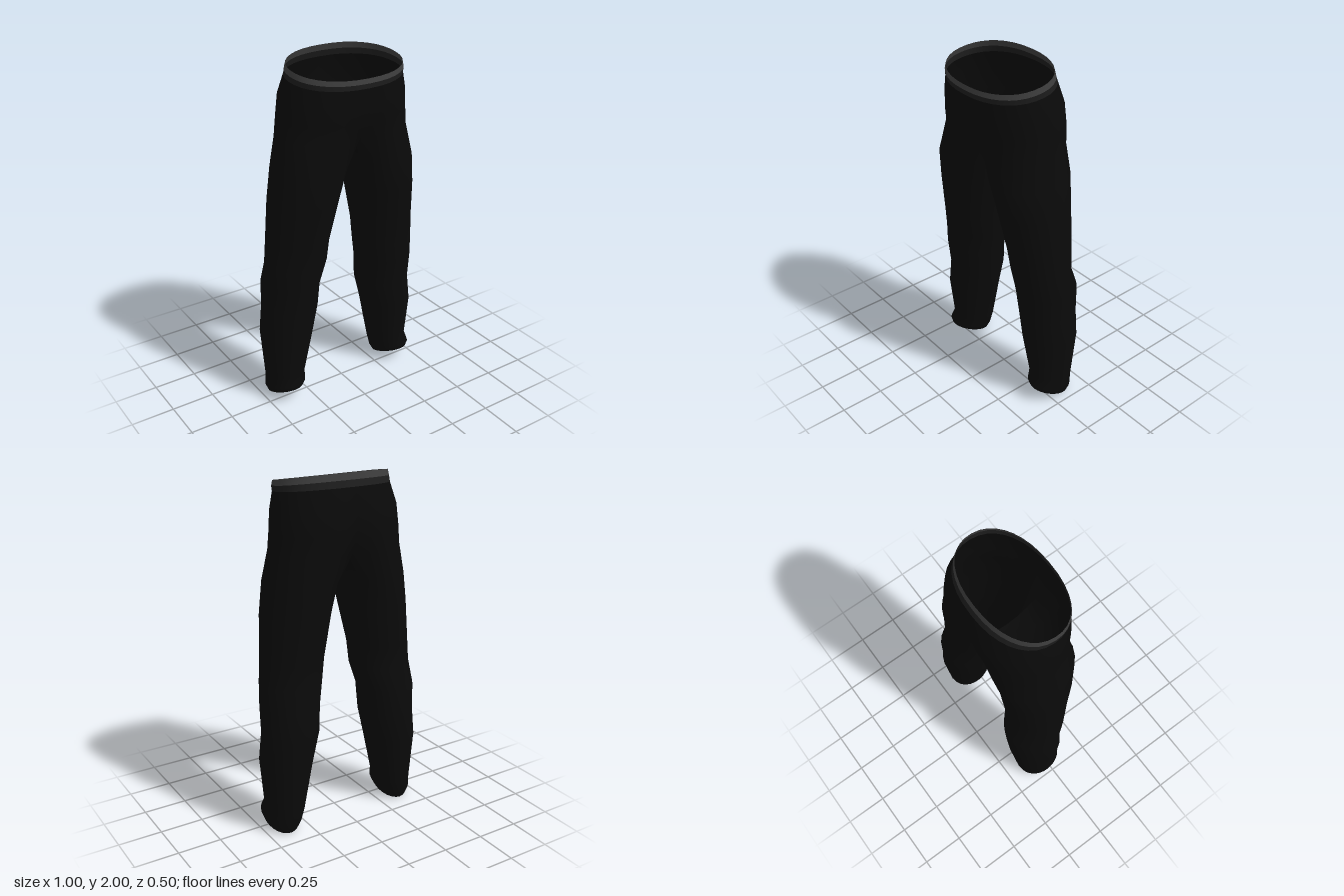
import * as THREE from 'three';
import { mergeVertices } from 'three/addons/utils/BufferGeometryUtils.js';

const N = 24;                       // points around a leg
const SEAM = 3;                     // points each side of the inseam
const A = Math.PI * (1 - 2 * SEAM / N); // angle where the outer cloth meets the centre seam

// Leg sections: front y, back y, inner x, outer x, front z, back z
const LEG = [
  [0.09, 0.00, 0.285, 0.475, 0.09, -0.148],
  [0.12, 0.04, 0.265, 0.49, 0.10, -0.165],
  [0.17, 0.12, 0.255, 0.477, 0.077, -0.18],
  [0.42, 0.42, 0.20, 0.498, 0.11, -0.212],
  [0.58, 0.58, 0.16, 0.482, 0.11, -0.215],
  [0.74, 0.74, 0.153, 0.48, 0.133, -0.22],
  [0.87, 0.87, 0.115, 0.472, 0.143, -0.178],
  [1.00, 1.00, 0.105, 0.458, 0.162, -0.19],
  [1.24, 1.24, 0.055, 0.442, 0.20, -0.20],
  [1.42, 1.42, 0.018, 0.412, 0.232, -0.222],
];
// Hip sections: front y, back y, side x, front z, back z, front cleft, back cleft
const HIPS = [
  [1.60, 1.58, 0.382, 0.236, -0.245, 0.22, 0.25],
  [1.69, 1.69, 0.367, 0.254, -0.258, 0.06, 0.12],
  [1.79, 1.81, 0.357, 0.256, -0.245, 0.02, 0.06],
  [1.87, 1.93, 0.33, 0.255, -0.205, 0, 0],
];
const BAND = [
  HIPS[3],
  [1.895, 1.965, 0.331, 0.256, -0.192, 0, 0],
  [1.92, 2.00, 0.325, 0.25, -0.182, 0, 0],
];

const angle = (i) => -Math.PI + 2 * Math.PI * i / N;
const lerp = THREE.MathUtils.lerp;

function legPoint([yf, yb, xi, xo, zf, zb], a) {
  const s = Math.sin(a);
  return [
    (xi + xo) / 2 + (xo - xi) / 2 * Math.cos(a),
    lerp(yb, yf, (s + 1) / 2),
    (zf + zb) / 2 + (zf - zb) / 2 * s,
  ];
}

// Half oval from the back seam round the side to the front seam
function hipPoint([yf, yb, xo, zf, zb, cf, cb], a) {
  const phi = a / A * Math.PI / 2, s = Math.sin(phi);
  const x = xo * Math.pow(Math.max(0, Math.cos(phi)), 0.88);
  const cleft = 1 - (s > 0 ? cf : cb) * Math.exp(-((x / 0.08) ** 2));
  const zs = Math.sign(s) * Math.pow(Math.abs(s), 0.92);
  return [
    x < 1e-4 ? 0 : x,
    lerp(yb, yf, (s + 1) / 2),
    ((zf + zb) / 2 + (zf - zb) / 2 * zs) * cleft,
  ];
}

// Top of the leg: outer part follows the hips, inner part hangs along the crotch seam
function crotchPoint(a) {
  if (Math.abs(a) <= A + 1e-6) return hipPoint(HIPS[0], a);
  const u = (Math.PI - Math.abs(a)) / (Math.PI - A);
  const [, y, z] = hipPoint(HIPS[0], Math.sign(a) * A);
  return [0, lerp(1.52, y, u * u), z * u];
}

// Skins stacked rows of points and mirrors them across x = 0
function skin(rowSets) {
  const pos = [];
  const tri = (a, b, c) => {
    pos.push(...a, ...b, ...c);
    for (const p of [a, c, b]) pos.push(-p[0], p[1], p[2]);
  };
  for (const rows of rowSets)
    for (let r = 0; r < rows.length - 1; r++)
      for (let i = 0; i < rows[r].length - 1; i++) {
        const [p, q] = [rows[r][i], rows[r][i + 1]];
        const [s, t] = [rows[r + 1][i], rows[r + 1][i + 1]];
        tri(p, s, q);
        tri(q, s, t);
      }
  const geo = new THREE.BufferGeometry();
  geo.setAttribute('position', new THREE.Float32BufferAttribute(pos, 3));
  const merged = mergeVertices(geo, 1e-4);
  merged.computeVertexNormals();
  return merged;
}

export function createModel() {
  const group = new THREE.Group();
  const full = Array.from({ length: N + 1 }, (_, i) => angle(i));
  const outer = full.slice(SEAM, N + 1 - SEAM);
  const hipRows = (sections) => sections.map((k) => outer.map((a) => hipPoint(k, a)));

  const add = (name, geometry, color) => {
    const material = new THREE.MeshStandardMaterial({ color, side: THREE.DoubleSide });
    const mesh = new THREE.Mesh(geometry, material);
    mesh.name = name;
    group.add(mesh);
  };

  // Legs and hips share one smooth cloth, open at the hems
  const legRows = LEG.map((k) => full.map((a) => legPoint(k, a)));
  legRows.push(full.map(crotchPoint));
  add('trouserCloth', skin([legRows, hipRows(HIPS)]), 0x0a0a0a);

  // Waistband, lighter toward the rim
  const band = hipRows(BAND);
  add('waistbandLower', skin([band.slice(0, 2)]), 0x1c1c1c);
  add('waistbandRim', skin([band.slice(1)]), 0x3c3c3c);

  group.name = 'trousers';
  return group;
}
